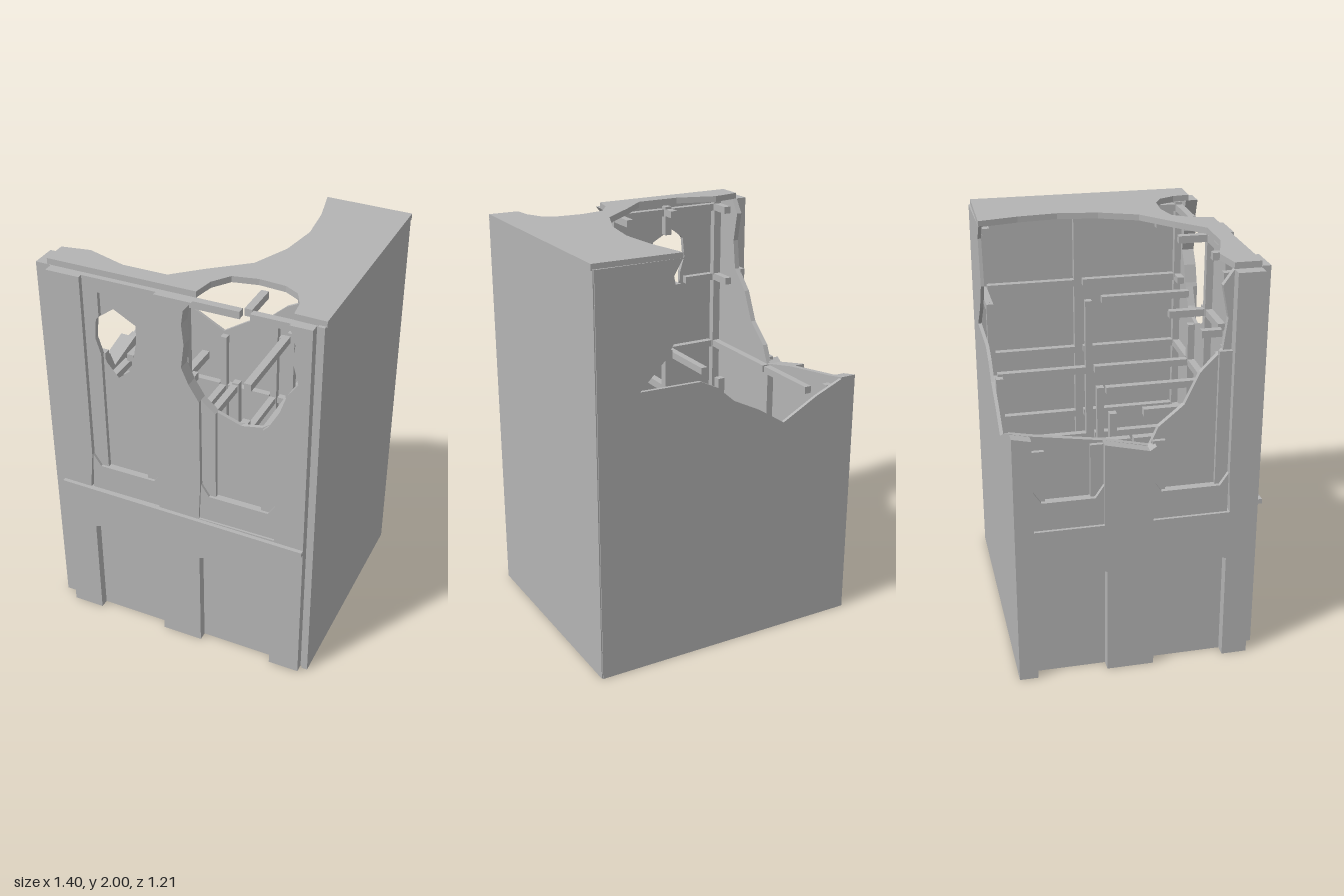
import * as THREE from 'three';

const stone = new THREE.MeshStandardMaterial({ color: 0xb4b4b4 });
stone.name = 'grey stone';

export function createModel() {
  const model = new THREE.Group();
  model.name = 'ruinedBuilding';

  const add = (name, geo) => {
    const m = new THREE.Mesh(geo, stone);
    m.name = name;
    model.add(m);
    return m;
  };
  // Box given by its min and max on each axis
  const box = (name, x0, x1, y0, y1, z0, z1) => {
    const m = add(name, new THREE.BoxGeometry(x1 - x0, y1 - y0, z1 - z0));
    m.position.set((x0 + x1) / 2, (y0 + y1) / 2, (z0 + z1) / 2);
    return m;
  };
  const extrude = (pts, depth, holes = []) => {
    const s = new THREE.Shape(pts.map(p => new THREE.Vector2(...p)));
    holes.forEach(h => s.holes.push(new THREE.Path(h.map(p => new THREE.Vector2(...p)))));
    return new THREE.ExtrudeGeometry(s, { depth, bevelEnabled: false });
  };
  // Outline in x,y as a slab from z0 to z1
  const frontSlab = (name, pts, z0, z1, holes) =>
    add(name, extrude(pts, z1 - z0, holes).translate(0, 0, z0));
  // Outline in z,y as a slab from x0 to x1
  const sideSlab = (name, pts, x0, x1) =>
    add(name, extrude(pts, x1 - x0).rotateY(-Math.PI / 2).translate(x1, 0, 0));
  // Pointed archway notch along the bottom edge
  const arch = (a, b) => [[a, 0], [a, 0.55], [(a + b) / 2 - 0.01, 0.625], [b, 0.55], [b, 0]];

  // Roof with its broken edge and front bite
  const roof = [[0.265, -0.6], [0.31, -0.4], [0.33, -0.2], [0.3, 0], [0.22, 0.19], [0.05, 0.33],
    [-0.08, 0.45], [-0.3, 0.45], [-0.5, 0.385], [-0.64, 0.41], [-0.64, 0.535], [0.1, 0.535],
    [0.12, 0.43], [0.18, 0.345], [0.3, 0.32], [0.43, 0.33], [0.5, 0.37], [0.54, 0.45],
    [0.55, 0.535], [0.7, 0.54], [0.7, -0.59]];
  add('roof', extrude(roof, 0.03).rotateX(Math.PI / 2).translate(0, 2, 0));

  // Plain left wall and broken back wall
  box('leftWall', 0.665, 0.695, 0, 1.975, -0.595, 0.555);
  frontSlab('backWall', [[-0.64, 0], [0.69, 0], [0.69, 1.975], [0.265, 1.975], [0.31, 1.9],
    [0.265, 1.67], [0.35, 1.53], [0.48, 1.4], [0.17, 1.395], [0.08, 1.35], [-0.01, 1.27],
    [-0.15, 1.2], [-0.29, 1.11], [-0.476, 1.21], [-0.64, 1.28]], -0.6, -0.583);

  // Front wall with two breaches
  const breachLeft = [[0.1, 1.97], [0.06, 1.92], [0.05, 1.85], [0.06, 1.75], [0.045, 1.63],
    [0.08, 1.55], [0.13, 1.47]];
  const breachRight = [[0.51, 1.51], [0.52, 1.53], [0.55, 1.62], [0.6, 1.69], [0.57, 1.8],
    [0.58, 1.88], [0.55, 1.97]];
  const breachLow = [[0.2, 1.41], [0.32, 1.37], [0.42, 1.39], [0.46, 1.42]];
  const smallBreach = [[-0.31, 1.82], [-0.2, 1.76], [-0.2, 1.68], [-0.23, 1.52], [-0.3, 1.46],
    [-0.36, 1.53], [-0.4, 1.66], [-0.39, 1.76]];
  frontSlab('frontWall', [[-0.63, 0], [-0.63, 1.97], ...breachLeft, ...breachLow, ...breachRight,
    [0.68, 1.97], [0.68, 0]], 0.522, 0.541, [smallBreach]);

  // Front facade with arches and window bays
  frontSlab('frontFacade', [[-0.62, 0], ...arch(-0.46, -0.09), ...arch(0.12, 0.5), [0.655, 0],
    [0.655, 1.97], ...breachRight.slice().reverse(), [0.51, 1], [0.51, 0.8], [0.12, 0.8],
    [0.13, 1], ...breachLeft.slice().reverse(), [-0.08, 1.97], [-0.08, 1], [-0.09, 0.8],
    [-0.47, 0.8], [-0.45, 1], [-0.45, 1.97], [-0.62, 1.97]], 0.535, 0.585);
  frontSlab('windowJamb', [[-0.45, 0.9], [-0.375, 0.9], [-0.375, 1.58], [-0.4, 1.66],
    [-0.39, 1.76], [-0.375, 1.775], [-0.375, 1.97], [-0.45, 1.97]], 0.538, 0.562);
  box('windowJamb', -0.16, -0.08, 0.9, 1.97, 0.538, 0.562);
  box('windowLintel', -0.375, -0.16, 1.9, 1.97, 0.538, 0.562);
  frontSlab('windowJamb', [[0.13, 0.9], [0.2, 0.9], [0.2, 1.41], [0.13, 1.47]], 0.538, 0.562);
  frontSlab('windowJamb', [[0.43, 0.9], [0.51, 0.9], [0.51, 1.51], [0.46, 1.42], [0.43, 1.39]],
    0.538, 0.562);
  for (const [a, b] of [[-0.46, -0.08], [0.12, 0.51]]) {
    frontSlab('windowSill', [[a, 0.8], [b, 0.8], [b, 1], [b - 0.04, 0.94], [a + 0.05, 0.94],
      [a + 0.01, 1]], 0.538, 0.575);
  }
  box('cornice', -0.62, 0.655, 0.774, 0.798, 0.58, 0.605).rotation.z = -0.014;

  // Right wall: thin inner slab and thick facade, broken along the top
  sideSlab('rightWall', [[-0.6, 0], [-0.6, 1.28], [-0.5, 1.26], [-0.18, 1.21], [0.04, 1.16],
    [0.08, 1.25], [0.2, 1.35], [0.27, 1.5], [0.37, 1.6], [0.39, 1.75], [0.36, 1.9],
    [0.41, 1.97], [0.535, 1.97], [0.535, 0]], -0.645, -0.618);
  sideSlab('rightFacade', [[-0.6, 0], ...arch(-0.51, -0.17), ...arch(0.06, 0.41), [0.535, 0],
    [0.535, 1.97], [0.41, 1.97], [0.41, 0.98], [0.42, 0.8], [0.05, 0.8], [0.06, 1.18],
    [0.03, 1.16], [-0.18, 1.21], [-0.18, 0.8], [-0.51, 0.8], [-0.51, 1.26], [-0.6, 1.28]],
  -0.7, -0.635);
  for (const [a, b] of [[-0.51, -0.18], [0.05, 0.41]]) {
    sideSlab('sideWindowSill', [[a, 0.8], [b, 0.8], [b, 1], [b - 0.04, 0.94], [a + 0.04, 0.94],
      [a, 1]], -0.685, -0.64);
    box('sideWindowJamb', -0.665, -0.64, 0.9, 1.19, a, a + 0.06);
    box('sideWindowJamb', -0.665, -0.64, 0.9, a < 0 ? 1.2 : 1.6, b - 0.06, b);
  }

  // Timber frame: posts in three rows, heights following the ruin
  const xs = [-0.57, -0.27, 0.03, 0.32, 0.625];
  const h = 0.018;
  const backTops = [1.24, 1.1, 1.27, 1.56, 1.95];
  const midTops = [1.17, 1.17, 1.18, 1.54, 1.95];
  const post = (x, z, y0, y1) => box('post', x - h, x + h, y0, y1, z - h, z + h);
  xs.forEach((x, i) => {
    post(x, -0.555, 0, backTops[i]);
    post(x, -0.05, 0, midTops[i]);
    post(x, 0.5, 0, i === 3 ? 1.37 : i === 1 ? 1.47 : 1.95);
  });
  post(xs[1], 0.5, 1.8, 1.95);

  // Floor beams: start of the surviving part for each level and bay
  const levels = [0.4, 0.78, 1.16, 1.54, 1.92];
  const starts = [
    [-0.53, -0.53, -0.53, -0.53, -0.53],
    [-0.53, -0.53, -0.53, -0.53, -0.53],
    [-0.4, 0.1, -0.08, -0.53, -0.53],
    [0.36, 0.38, 0.3, 0.02, -0.53],
    [0.38, 0.42, 0.34, 0.3, -0.53]];
  levels.forEach((y, l) => {
    xs.forEach((x, i) => {
      const s = starts[l][i];
      if (s < -0.1) box('floorBeam', x - h, x + h, y - h, y + h, s, -0.035);
      box('floorBeam', x - h, x + h, y - h, y + h, Math.max(s, -0.02), 0.48);
    });
    // Beams along the front and back walls
    for (let i = 0; i < 4; i++) {
      const a = xs[i] + 0.025, b = xs[i + 1] - 0.025;
      const backOk = l < 2 || i === 3 || (l === 2 && i === 2);
      if (backOk) box('backBeam', a, b, y - h, y + h, -0.573, -0.537);
      let fa = a, fb = b;
      if (l === 3) {
        if (i === 0) fb = -0.38;
        if (i === 1) fa = -0.21;
        if (i === 2) fb = 0.08;
        if (i === 3) fa = 0.53;
      }
      box('frontBeam', fa, fb, y - h, y + h, 0.482, 0.518);
    }
  });
  return model;
}
